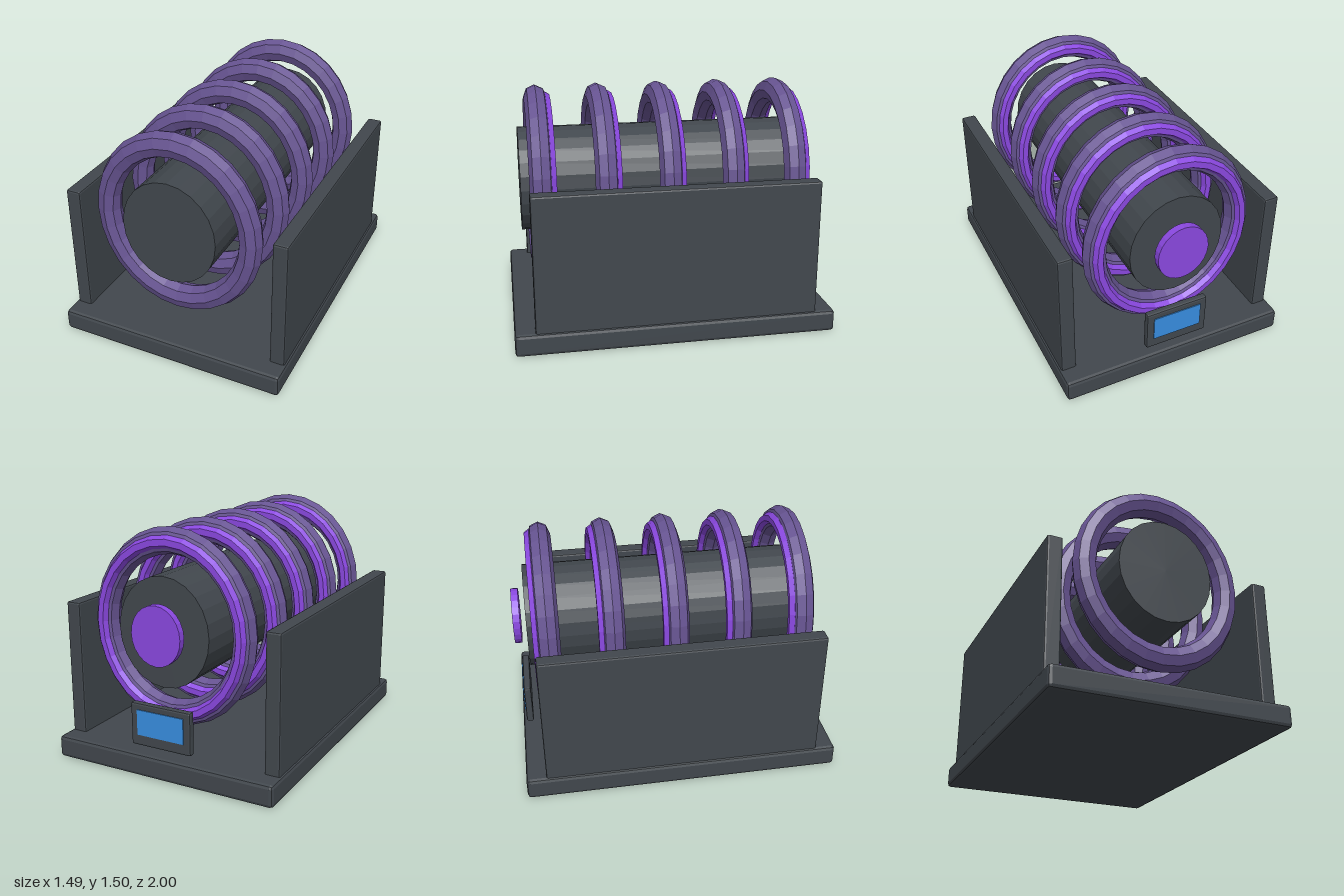
import * as THREE from 'three';
import { RoundedBoxGeometry } from 'three/addons/geometries/RoundedBoxGeometry.js';

const mat = (name, color) => new THREE.MeshStandardMaterial({ name, color, flatShading: true });

export function createModel() {
  const model = new THREE.Group();
  const darkMetal = mat('dark metal', 0x41474d);
  const coilPurple = mat('coil purple', 0x675492);
  const glowPurple = mat('glow purple', 0x8a48e0);
  const screenBlue = mat('screen blue', 0x388de0);
  const AXIS_Y = 0.9, STRETCH = 1.105;

  function add(name, geometry, material, x, y, z, parent = model) {
    const mesh = new THREE.Mesh(geometry, material);
    mesh.name = name;
    mesh.position.set(x, y, z);
    parent.add(mesh);
    return mesh;
  }
  const bevelBox = (w, h, d, r) => new RoundedBoxGeometry(w, h, d, 1, r);
  // Oval cylinder along z, slightly taller than wide
  const ovalCylinder = (r, length, sides) =>
    new THREE.CylinderGeometry(r, r, length, sides).rotateX(Math.PI / 2).scale(1, STRETCH, 1);
  const ovalTorus = (r, tube, radial) =>
    new THREE.TorusGeometry(r, tube, radial, 28).scale(1, STRETCH, 1);

  // Base tray with two upright side walls
  add('base', bevelBox(1.494, 0.14, 2, 0.022), darkMetal, 0, 0.07, 0);
  for (const side of [-1, 1]) {
    add(side > 0 ? 'leftWall' : 'rightWall', bevelBox(0.096, 0.87, 1.75, 0.012),
      darkMetal, side * 0.683, 0.555, 0);
  }

  // Central core
  add('core', ovalCylinder(0.304, 1.83, 24), darkMetal, 0, AXIS_Y, 0);

  // Five coils, each with a glowing ring set into its back
  const coilGeometry = ovalTorus(0.4725, 0.0735, 8);
  const glowGeometry = ovalTorus(0.4725, 0.035, 6);
  for (let i = -2; i <= 2; i++) {
    const coil = new THREE.Group();
    coil.name = `coil${i + 3}`;
    coil.position.set(0, AXIS_Y, i * 0.396);
    add('coilRing', coilGeometry, coilPurple, 0, 0, 0, coil);
    add('glowRing', glowGeometry, glowPurple, 0, 0, -0.06, coil);
    model.add(coil);
  }

  // Glowing disc behind the core
  add('rearDisc', ovalCylinder(0.165, 0.046, 24), glowPurple, 0, AXIS_Y, -0.977);

  // Control panel with a thin screen on its back face
  add('controlPanel', bevelBox(0.412, 0.27, 0.046, 0.012), darkMetal, 0, 0.325, -0.952);
  add('screen', new THREE.BoxGeometry(0.32, 0.16, 0.009), screenBlue, 0, 0.34, -0.976);

  return model;
}
